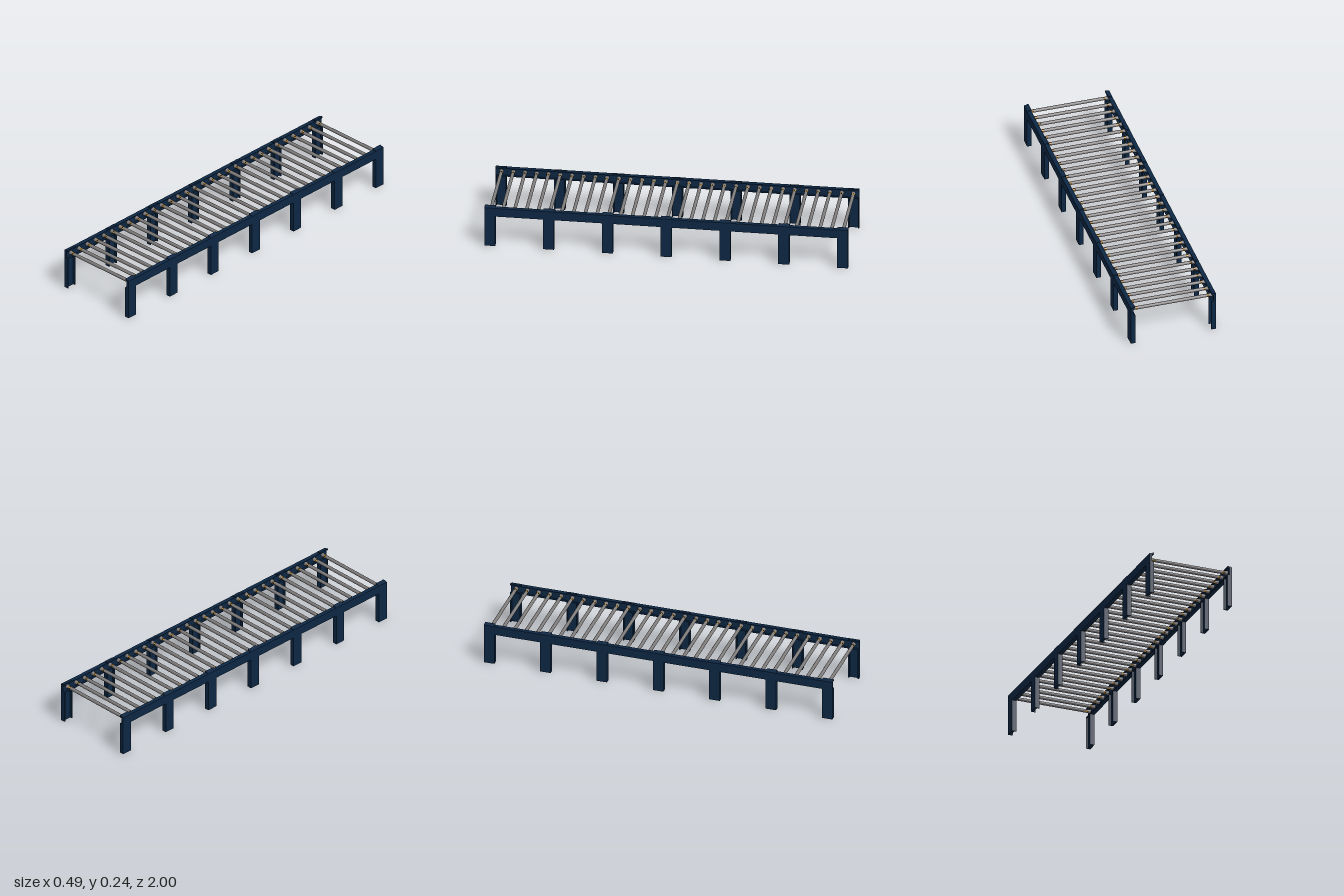
import * as THREE from 'three';

const mat = (name, color) => new THREE.MeshStandardMaterial({ name, color });

export function createModel() {
  const navy = mat('navy paint', 0x0d2744);
  const steel = mat('roller steel', 0x807d7d);
  const black = mat('black rubber', 0x121212);
  const amber = mat('amber band', 0xe09a1a);

  const model = new THREE.Group();
  model.name = 'rollerConveyor';

  // Extrude an x/y outline along z, centred on z = 0
  const prism = (points, depth) => {
    const shape = new THREE.Shape(points.map(([x, y]) => new THREE.Vector2(x, y)));
    return new THREE.ExtrudeGeometry(shape, { depth, bevelEnabled: false }).translate(0, 0, -depth / 2);
  };
  const add = (parent, name, geometry, material, x = 0, y = 0, z = 0) => {
    const mesh = new THREE.Mesh(geometry, material);
    mesh.name = name;
    mesh.position.set(x, y, z);
    parent.add(mesh);
    return mesh;
  };

  // Channel rail: web with inward lips at top and bottom
  const railGeo = prism([
    [0.243, 0.183], [0.243, 0.233], [0.219, 0.233], [0.219, 0.23],
    [0.229, 0.23], [0.229, 0.187], [0.218, 0.187], [0.218, 0.183],
  ], 2);

  // Leg: outer web with a sloping hooked top, and two side flanges below the rail
  const legWidth = 0.06;
  const webGeo = prism([
    [0.243, 0], [0.243, 0.234], [0.218, 0.24], [0.218, 0.231],
    [0.229, 0.231], [0.229, 0],
  ], legWidth);
  const flangeGeo = new THREE.BoxGeometry(0.013, 0.185, 0.006);

  for (const turn of [0, Math.PI]) {
    const side = new THREE.Group();
    side.name = turn ? 'rightFrame' : 'leftFrame';
    side.rotation.y = turn;
    add(side, 'rail', railGeo, navy);
    for (let i = -3; i <= 3; i++) {
      const leg = new THREE.Group();
      leg.name = 'leg';
      leg.position.z = i * 0.97 / 3;
      add(leg, 'legWeb', webGeo, navy);
      for (const s of [-1, 1]) {
        add(leg, 'legFlange', flangeGeo, navy, 0.2235, 0.0925, s * (legWidth / 2 - 0.003));
      }
      side.add(leg);
    }
    model.add(side);
  }

  // Rollers: steel tube, striped bands and flared end bearings
  const alongX = (geometry) => geometry.rotateZ(-Math.PI / 2);
  const tubeGeo = alongX(new THREE.CylinderGeometry(0.0095, 0.0095, 0.396, 16));
  const capGeo = alongX(new THREE.CylinderGeometry(0.012, 0.0095, 0.019, 16));
  const bandGeo = alongX(new THREE.CylinderGeometry(0.009, 0.009, 0.014, 12, 1, true));
  bandGeo.clearGroups();
  for (let i = 0; i < 12; i++) bandGeo.addGroup(i * 6, 6, i % 2);

  const count = 31;
  for (let i = 0; i < count; i++) {
    const roller = new THREE.Group();
    roller.name = 'roller';
    roller.position.set(0, 0.21, -0.968 + i * 1.936 / (count - 1));
    add(roller, 'rollerTube', tubeGeo, steel);
    for (const s of [-1, 1]) {
      add(roller, 'rollerBand', bandGeo, [black, amber], s * 0.204);
      const cap = add(roller, 'rollerBearing', capGeo, steel, s * 0.2195);
      if (s < 0) cap.rotation.y = Math.PI;
    }
    model.add(roller);
  }
  return model;
}
